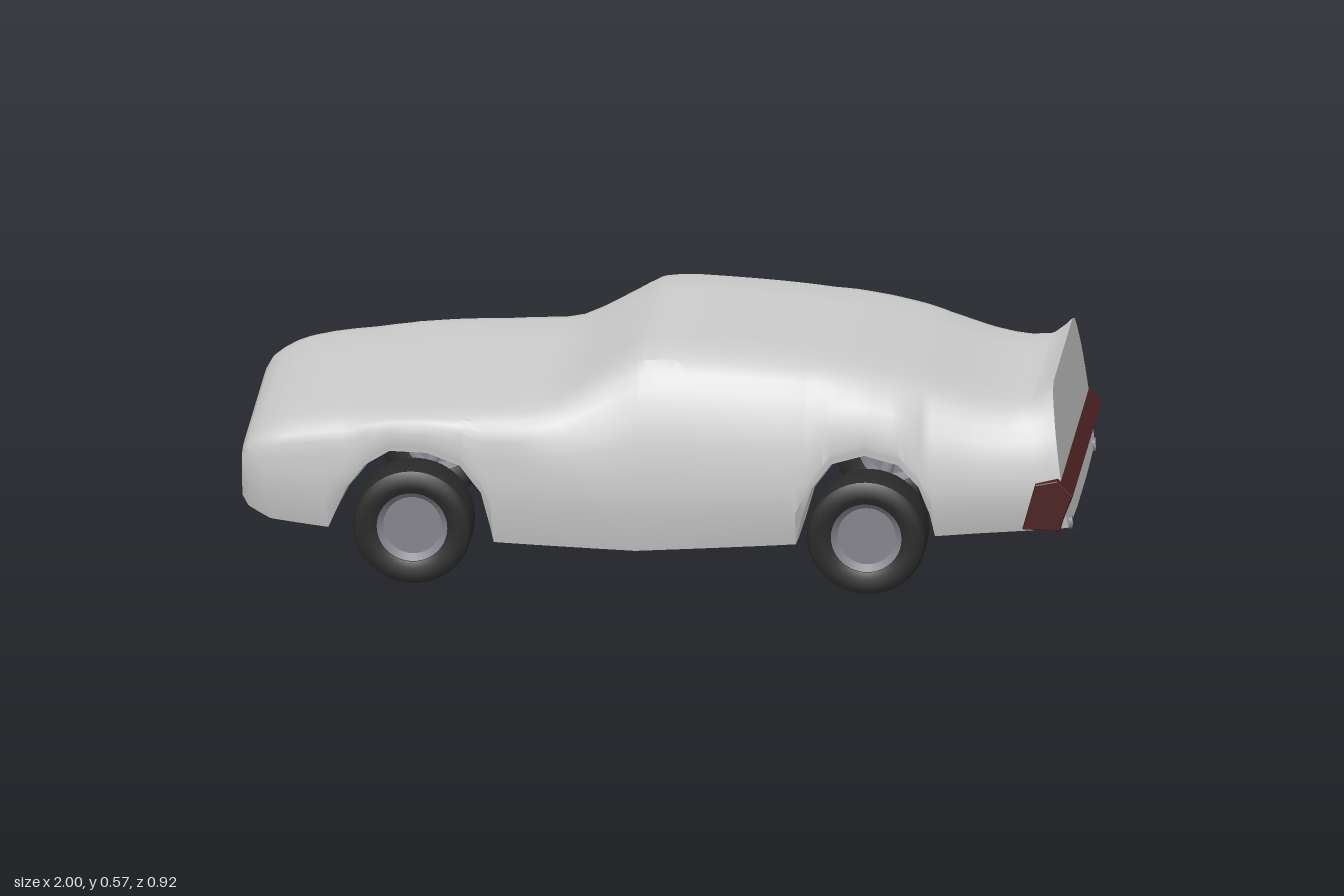
import * as THREE from 'three';
import { toCreasedNormals } from 'three/addons/utils/BufferGeometryUtils.js';

const paint = new THREE.MeshStandardMaterial({ color: 0xcccccc, side: THREE.DoubleSide });
const rubber = new THREE.MeshStandardMaterial({ color: 0x2a2a2a });
const steel = new THREE.MeshStandardMaterial({ color: 0x85838c });
const red = new THREE.MeshStandardMaterial({ color: 0x4a2020 });

// Side and plan profiles as [x, value], nose at -x
const TOP = [[-1, 0.305], [-0.985, 0.33], [-0.95, 0.355], [-0.9, 0.377], [-0.8, 0.397], [-0.6, 0.415], [-0.3, 0.435],
  [-0.24, 0.448], [-0.19, 0.475], [-0.1, 0.53], [-0.035, 0.563], [0.1, 0.565], [0.4, 0.542], [0.6, 0.505],
  [0.75, 0.46], [0.83, 0.447], [0.89, 0.455], [0.94, 0.495]];
const BOTTOM = [[-1, 0.185], [-0.985, 0.165], [-0.93, 0.14], [-0.79, 0.125], [-0.775, 0.16], [-0.745, 0.23], [-0.7, 0.29],
  [-0.64, 0.328], [-0.55, 0.328], [-0.47, 0.3], [-0.42, 0.235], [-0.4, 0.15], [-0.39, 0.107], [-0.05, 0.095],
  [0.335, 0.12], [0.35, 0.19], [0.375, 0.265], [0.42, 0.325], [0.5, 0.347], [0.58, 0.325], [0.63, 0.27],
  [0.655, 0.2], [0.667, 0.142], [0.94, 0.16]];
const WIDTH = [[-1, 0.36], [-0.98, 0.385], [-0.92, 0.408], [-0.7, 0.425], [-0.4, 0.453], [0, 0.459], [0.3, 0.456],
  [0.45, 0.442], [0.6, 0.436], [0.8, 0.415], [0.94, 0.39]];
// Upper cross-section: [height share, width share on the hood, width share at the cabin]
const UPPER = [[1, 0.45, 0.4], [1, 0.8, 0.68], [0.95, 0.9, 0.78], [0.86, 0.95, 0.83], [0.75, 0.975, 0.875],
  [0.57, 0.99, 0.935], [0.3, 0.997, 0.978], [0, 1, 1]];

function sample(table, x, smooth) {
  let i = 0;
  while (i < table.length - 2 && x > table[i + 1][0]) i++;
  const slope = (k) => {
    const a = table[Math.max(0, k - 1)], b = table[Math.min(table.length - 1, k + 1)];
    return (b[1] - a[1]) / (b[0] - a[0]);
  };
  const [x0, y0] = table[i], [x1, y1] = table[i + 1], d = x1 - x0, t = (x - x0) / d;
  if (!smooth) return y0 + (y1 - y0) * t;
  const t2 = t * t, t3 = t2 * t;
  return (2 * t3 - 3 * t2 + 1) * y0 + (t3 - 2 * t2 + t) * d * slope(i)
    + (3 * t2 - 2 * t3) * y1 + (t3 - t2) * d * slope(i + 1);
}

// One closed cross-section, from the top centre round the +z side and back
function section(x) {
  const top = sample(TOP, x, true), low = sample(BOTTOM, x, false), w = sample(WIDTH, x, true);
  const mid = Math.max(0.27, low + 0.025);
  const cabin = THREE.MathUtils.smoothstep(x, -0.4, -0.05);
  const arch = THREE.MathUtils.smoothstep(low, 0.14, 0.27);
  const half = UPPER.map(([h, hood, roof]) => [w * (hood + (roof - hood) * cabin), mid + (top - mid) * h]);
  half.push([w * 0.995, mid + (low - mid) * 0.45]);
  half.push([w * (0.94 + 0.05 * arch), low]);
  half.push([w * 0.78, low - 0.008 - 0.014 * arch]);
  half.push([w * 0.33, low - 0.015 - 0.007 * arch]);
  const ring = [[0, top], ...half, [0, half.at(-1)[1]], ...half.slice().reverse().map(([z, y]) => [-z, y])];
  // the tail panel leans back towards its foot
  const lean = 0.13 * THREE.MathUtils.smoothstep(x, 0.75, 0.94);
  return ring.map(([z, y]) => [x + lean * (0.495 - y), y, z]);
}

function bodyGeometry() {
  const stations = new Set([...TOP, ...BOTTOM, ...WIDTH].map((p) => p[0]));
  for (let x = -0.96; x < 0.93; x += 0.04) stations.add(+x.toFixed(2));
  const rings = [...stations].sort((a, b) => a - b).map(section);
  const n = rings[0].length, last = rings.length - 1;
  const pos = rings.flat(2), index = [];
  for (let i = 0; i < last; i++) {
    for (let j = 0; j < n; j++) {
      const a = i * n + j, b = i * n + (j + 1) % n;
      index.push(a, b, b + n, a, b + n, a + n);
    }
  }
  // nose and tail caps
  for (const r of [0, last]) {
    const c = pos.length / 3;
    const tops = rings[r][0], feet = rings[r][(n / 2) | 0];
    pos.push((tops[0] + feet[0]) / 2, (tops[1] + feet[1]) / 2, 0);
    for (let j = 0; j < n; j++) {
      const a = r * n + j, b = r * n + (j + 1) % n;
      if (r) index.push(c, a, b); else index.push(c, b, a);
    }
  }
  const geo = new THREE.BufferGeometry();
  geo.setAttribute('position', new THREE.Float32BufferAttribute(pos, 3));
  geo.setIndex(index);
  return toCreasedNormals(geo, 0.55);
}

function add(parent, name, geometry, material) {
  const mesh = new THREE.Mesh(geometry, material);
  mesh.name = name;
  parent.add(mesh);
  return mesh;
}

const lathe = (points) => toCreasedNormals(
  new THREE.LatheGeometry(points.map(([r, h]) => new THREE.Vector2(r, h)), 40).rotateX(Math.PI / 2), 0.6);

// Wheel with its outer face towards +z
function wheel(name) {
  const g = new THREE.Group();
  g.name = name;
  add(g, 'tire', lathe([[0.085, -0.06], [0.1, -0.067], [0.128, -0.066], [0.139, -0.058], [0.143, -0.045],
    [0.143, 0.045], [0.139, 0.058], [0.128, 0.066], [0.1, 0.067], [0.085, 0.06], [0.085, -0.06]]), rubber);
  add(g, 'rim', lathe([[0, -0.035], [0.07, -0.035], [0.087, -0.058], [0.087, 0.058], [0.07, 0.04], [0, 0.04]]), steel);
  return g;
}

export function createModel() {
  const car = new THREE.Group();
  car.name = 'car';
  add(car, 'body', bodyGeometry(), paint);

  // axles and wheels
  for (const [end, x] of [['front', -0.585], ['rear', 0.505]]) {
    const axle = add(car, end + 'Axle', new THREE.CylinderGeometry(0.016, 0.016, 0.72, 16), steel);
    axle.rotation.x = Math.PI / 2;
    axle.position.set(x, 0.145, 0);
    for (const side of [1, -1]) {
      const w = wheel(end + (side > 0 ? 'NearWheel' : 'FarWheel'));
      w.position.set(x, 0.143, side * 0.382);
      if (side < 0) w.rotation.y = Math.PI;
      car.add(w);
    }
  }

  // rear bumper, a faceted bar across the tail
  const profile = new THREE.Shape([[0.88, 0.168], [0.965, 0.165], [0.972, 0.19], [0.995, 0.25], [0.96, 0.285], [0.91, 0.275]]
    .map(([x, y]) => new THREE.Vector2(x, y)));
  const bar = new THREE.ExtrudeGeometry(profile, { depth: 0.81, bevelEnabled: true, bevelSize: 0.003, bevelThickness: 0.006, bevelSegments: 2 });
  add(car, 'rearBumper', bar.translate(0, 0, -0.405), red);

  // exhaust pipes
  const pipe = lathe([[0.008, -0.1], [0.016, -0.1], [0.016, 0.1], [0.01, 0.1], [0.01, 0.03], [0, 0.03]]);
  for (const z of [0.325, -0.325]) {
    const p = add(car, 'exhaustPipe', pipe, steel);
    p.rotation.y = Math.PI / 2;
    p.position.set(0.89, 0.163, z);
  }
  return car;
}
